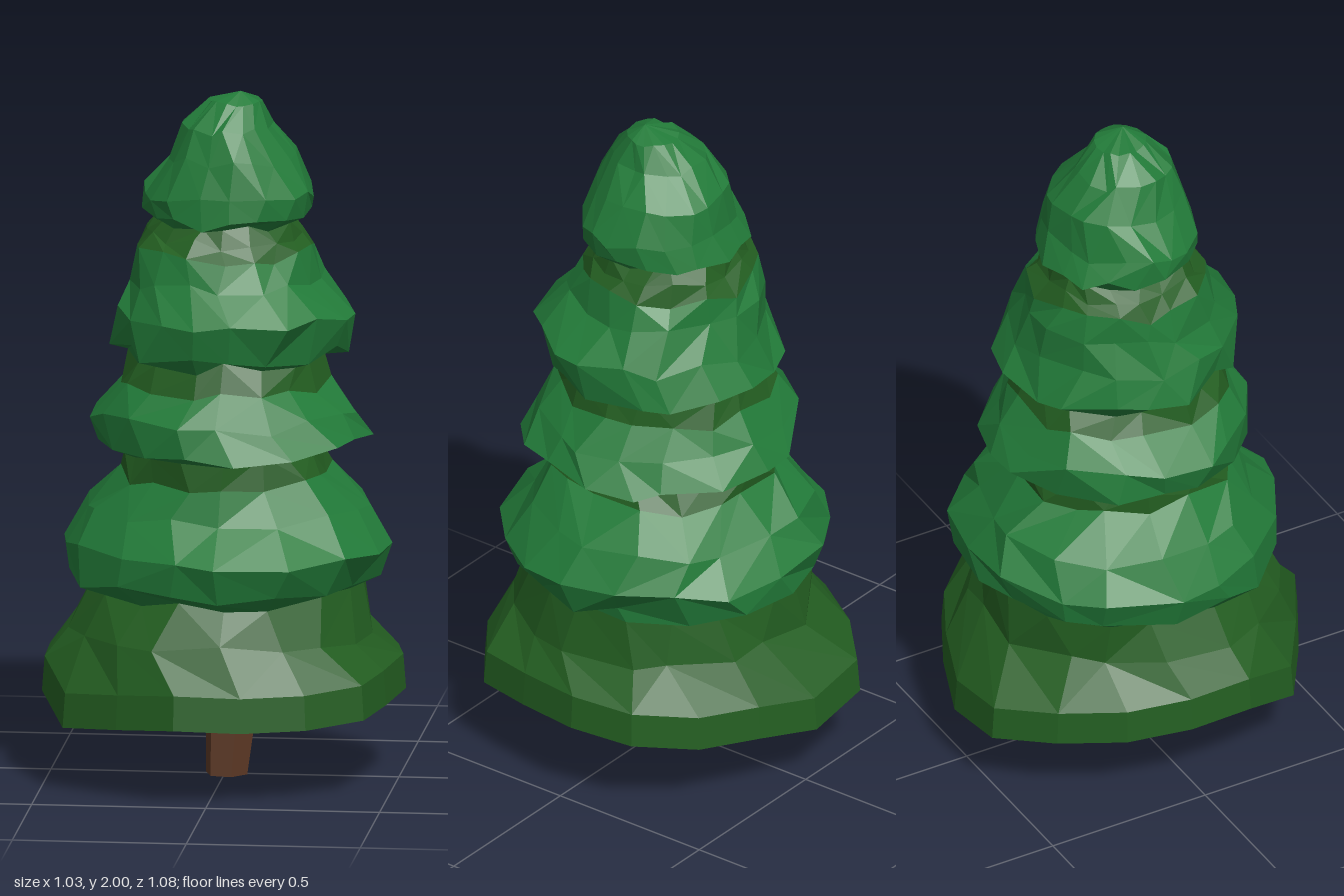
import * as THREE from 'three';

const SIDES = 17;

// Small seeded generator so the foliage is the same every time
function seeded(seed) {
  return () => {
    seed = (seed * 16807) % 2147483647;
    return seed / 2147483647;
  };
}

// Each row: height, then reach towards -x, +x, -z, +z
const TIERS = [
  ['crown', 'light', [
    [2.0, -0.05, 0.05, -0.04, 0.04], [1.97, 0.04, 0.11, 0.05, 0.1], [1.9, 0.12, 0.14, 0.12, 0.16],
    [1.81, 0.16, 0.21, 0.19, 0.2], [1.7, 0.23, 0.27, 0.2, 0.22], [1.64, 0.23, 0.26, 0.24, 0.22], [1.62, 0.2, 0.2, 0.21, 0.19]]],
  ['upperCollar', 'dark', [
    [1.58, 0.23, 0.22, 0.23, 0.21], [1.54, 0.26, 0.25, 0.26, 0.25]]],
  ['upperTier', 'light', [
    [1.46, 0.27, 0.28, 0.28, 0.28], [1.36, 0.3, 0.38, 0.31, 0.36],
    [1.26, 0.32, 0.35, 0.35, 0.33], [1.235, 0.27, 0.29, 0.29, 0.29]]],
  ['middleCollar', 'dark', [
    [1.16, 0.3, 0.31, 0.32, 0.32]]],
  ['middleTier', 'light', [
    [1.07, 0.39, 0.37, 0.35, 0.37], [0.99, 0.37, 0.42, 0.39, 0.39], [0.965, 0.29, 0.28, 0.3, 0.33]]],
  ['lowerCollar', 'dark', [
    [0.89, 0.3, 0.31, 0.32, 0.34]]],
  ['lowerTier', 'light', [
    [0.79, 0.41, 0.42, 0.41, 0.37], [0.69, 0.46, 0.48, 0.47, 0.48],
    [0.6, 0.45, 0.43, 0.47, 0.47], [0.57, 0.4, 0.41, 0.41, 0.4]]],
  ['skirt', 'dark', [[0.44, 0.44, 0.44, 0.43, 0.45]]],
];

// Ragged hem of the skirt: x, y, z
const HEM = [
  [0.515, 0.25, -0.05], [0.48, 0.24, 0.15], [0.435, 0.23, 0.325], [0.28, 0.22, 0.44], [0.1, 0.22, 0.505],
  [-0.09, 0.23, 0.535], [-0.265, 0.21, 0.44], [-0.43, 0.19, 0.33], [-0.51, 0.26, 0.145], [-0.515, 0.26, -0.05],
  [-0.455, 0.24, -0.23], [-0.35, 0.23, -0.4], [-0.21, 0.21, -0.535], [0, 0.18, -0.54], [0.18, 0.21, -0.475],
  [0.35, 0.22, -0.385], [0.48, 0.24, -0.24],
];

// Uneven ring, each side stretched to its own reach
function makeRing([y, left, right, back, front], random) {
  const cx = (right - left) / 2, rx = (right + left) / 2;
  const cz = (front - back) / 2, rz = (front + back) / 2;
  const jitter = Math.min(1, rx * 4);
  return Array.from({ length: SIDES }, (_, i) => {
    const a = ((i + (random() - 0.5) * 0.5) / SIDES) * Math.PI * 2;
    const k = 0.95 + random() * 0.09;
    return new THREE.Vector3(
      cx + Math.cos(a) * rx * k,
      y + (random() - 0.5) * 0.04 * jitter,
      cz + Math.sin(a) * rz * k);
  });
}

// Copy of the hem, scaled about the middle and raised
function hemRing(scale, lift) {
  return HEM.map(([x, y, z]) => new THREE.Vector3(x * scale, y + lift, z * scale));
}

// Joins rings from top to bottom with faceted triangles
function skinRings(rings, random) {
  const points = [];
  for (let r = 0; r + 1 < rings.length; r++) {
    const up = rings[r], low = rings[r + 1], n = up.length;
    for (let i = 0; i < n; i++) {
      const j = (i + 1) % n;
      if (random() < 0.5) points.push(low[i], up[i], low[j], up[i], up[j], low[j]);
      else points.push(low[i], up[i], up[j], low[i], up[j], low[j]);
    }
  }
  const geometry = new THREE.BufferGeometry().setFromPoints(points);
  geometry.computeVertexNormals();
  return geometry;
}

export function createModel() {
  const tree = new THREE.Group();
  tree.name = 'pineTree';
  const random = seeded(4217);
  const materials = {
    light: new THREE.MeshStandardMaterial({ name: 'fresh green', color: 0x227b39 }),
    dark: new THREE.MeshStandardMaterial({ name: 'deep green', color: 0x235e21 }),
    bark: new THREE.MeshStandardMaterial({ name: 'bark brown', color: 0x5a3724 }),
  };

  // Foliage tiers and collars, each continuing from the last ring above
  let last = null;
  for (const [name, colour, rows] of TIERS) {
    const rings = rows.map((row) => makeRing(row, random));
    if (last) rings.unshift(last);
    // Hem and hollow underside
    if (name === 'skirt') {
      rings.push(hemRing(0.985, 0.1), hemRing(1, 0), hemRing(0.4, 0.02),
        HEM.map(() => new THREE.Vector3(0, 0.27, 0)));
    }
    last = rings[rings.length - 1];
    const mesh = new THREE.Mesh(skinRings(rings, random), materials[colour]);
    mesh.name = name;
    tree.add(mesh);
  }

  // Leaning trunk, wider at the top
  const trunkRings = [[0.32, 0.015, -0.035, 0.08], [0.14, 0.012, -0.025, 0.073], [0, 0.005, 0, 0.062], [0, 0.005, 0, 0]]
    .map(([y, x, z, r]) => Array.from({ length: 6 }, (_, i) => {
      const a = ((i + 0.2) / 6) * Math.PI * 2;
      return new THREE.Vector3(x + Math.cos(a) * r, y, z + Math.sin(a) * r);
    }));
  const trunk = new THREE.Mesh(skinRings(trunkRings, random), materials.bark);
  trunk.name = 'trunk';
  tree.add(trunk);
  return tree;
}
